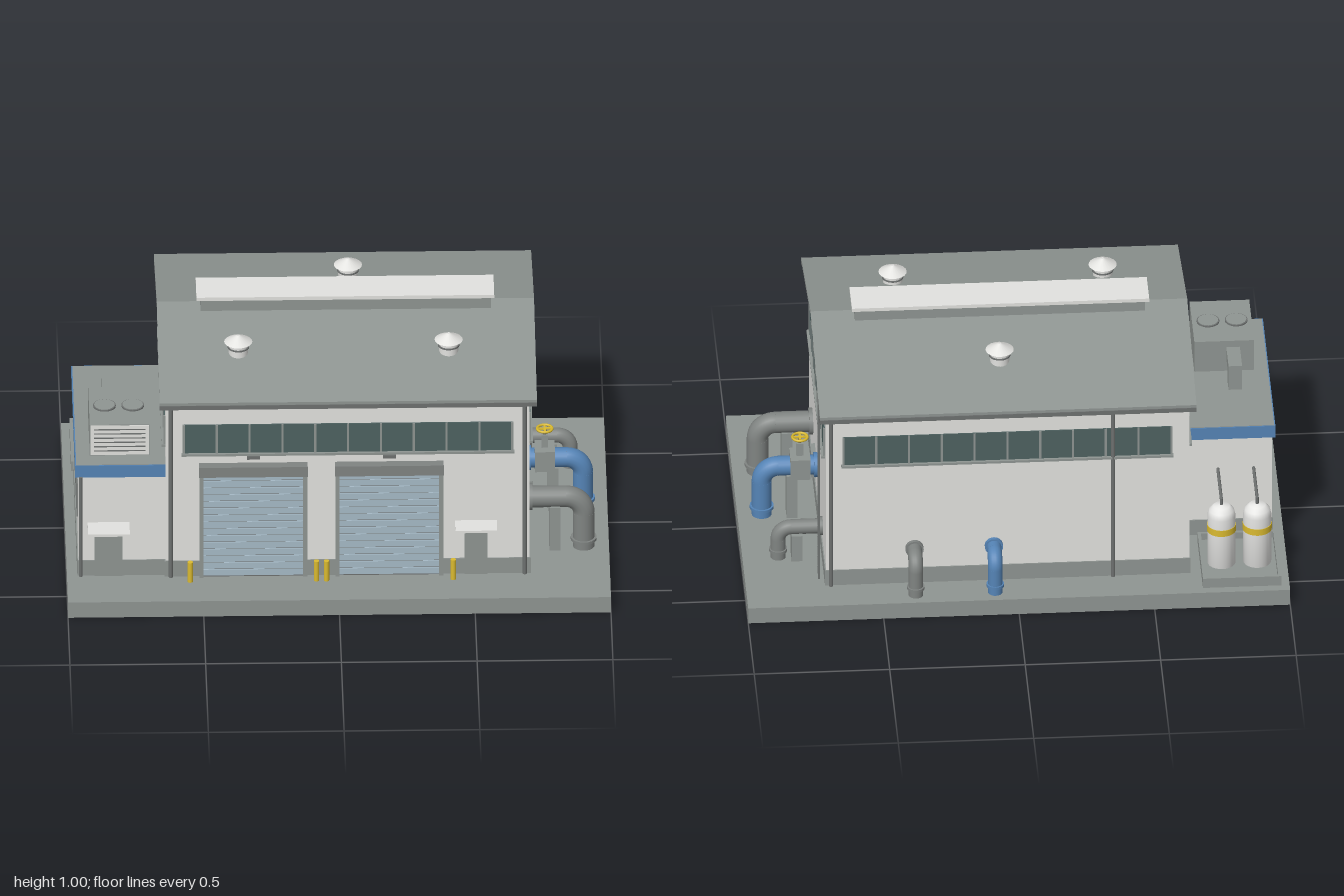
import * as THREE from 'three';

const mat = (name, color) => {
  const m = new THREE.MeshStandardMaterial({ color });
  m.name = name;
  return m;
};

export function createModel() {
  const wall = mat('wall panel', 0xe2e2df), grey = mat('concrete grey', 0x8f9592);
  const steel = mat('dark steel', 0x6e7170), pipeGrey = mat('pipe grey', 0x808482);
  const blue = mat('blue trim', 0x5584b6), glass = mat('window glass', 0x4e6261);
  const shutter = mat('shutter blue', 0xa6bac7), yellow = mat('safety yellow', 0xdaba30);
  const white = mat('white paint', 0xeaeae8);
  const model = new THREE.Group();

  const add = (name, geo, m, parent = model) => {
    const mesh = new THREE.Mesh(geo, m);
    mesh.name = name;
    parent.add(mesh);
    return mesh;
  };
  const group = (name, x = 0, y = 0, z = 0, ry = 0) => {
    const g = new THREE.Group();
    g.name = name;
    g.position.set(x, y, z);
    g.rotation.y = ry;
    model.add(g);
    return g;
  };
  // box given by its limits on each axis
  const box = (name, m, x0, x1, y0, y1, z0, z1, parent) => {
    const mesh = add(name, new THREE.BoxGeometry(x1 - x0, y1 - y0, z1 - z0), m, parent);
    mesh.position.set((x0 + x1) / 2, (y0 + y1) / 2, (z0 + z1) / 2);
    return mesh;
  };
  // rectangular ring of four boxes, t thick
  const ring = (name, m, x0, x1, y0, y1, z0, z1, t) => {
    for (const x of [x0, x1 - t]) box(name, m, x, x + t, y0, y1, z0, z1);
    for (const z of [z0, z1 - t]) box(name, m, x0 + t, x1 - t, y0, y1, z, z + t);
  };
  // upright cylinder or cone, from y0 to y1
  const cyl = (name, m, x, z, y0, y1, r, parent, rTop = r, sides = 20) => {
    const mesh = add(name, new THREE.CylinderGeometry(rTop, r, y1 - y0, sides), m, parent);
    mesh.position.set(x, (y0 + y1) / 2, z);
    return mesh;
  };
  // outline in (z, y), extruded along x
  const extrudeX = (name, m, pts, x0, x1) => {
    const shape = new THREE.Shape(pts.map(p => new THREE.Vector2(...p)));
    const geo = new THREE.ExtrudeGeometry(shape, { depth: x1 - x0, bevelEnabled: false });
    return add(name, geo.rotateY(-Math.PI / 2).translate(x1, 0, 0), m);
  };

  const G = 0.065, L = -0.637, R = 0.704, F = 0.468, B = -0.513, CX = 0.035, CZ = -0.0225;

  // Hollow ground slab, open below, with wall footings showing under it
  box('slabTop', grey, -1, 1, G - 0.006, G, -0.655, 0.655);
  ring('slabEdge', grey, -1, 1, 0, G - 0.006, -0.655, 0.655, 0.006);
  ring('hallFooting', wall, L, R, 0.055, 0.06, B, F, 0.008);
  ring('annexFooting', wall, -0.958, L, 0.055, 0.06, -0.258, 0.456, 0.008);

  // Hall walls, plinth and blue band
  extrudeX('hallWalls', wall, [[B, G], [F, G], [F, 0.83], [CZ, 0.935], [B, 0.83]], L, R);
  box('plinth', grey, L - 0.004, R + 0.004, G, 0.13, B - 0.004, F + 0.004);
  box('blueBandLong', blue, L - 0.005, R + 0.005, 0.78, 0.829, B - 0.005, F + 0.005);
  box('blueBandGable', blue, L - 0.005, R + 0.005, 0.825, 0.847, B + 0.035, F - 0.035);

  // Pitched roof, gutters and ridge vent
  extrudeX('roof', grey, [[-0.5675, 0.818], [CZ, 0.933], [0.5225, 0.818], [0.5225, 0.833],
    [CZ, 0.949], [-0.5675, 0.833]], -0.66, 0.73);
  for (const z of [0.518, -0.563]) box('gutter', steel, -0.66, 0.73, 0.805, 0.822, z - 0.007, z + 0.007);
  box('ridgeVentBase', grey, -0.50, 0.57, 0.90, 0.99, -0.077, 0.03);
  box('ridgeVentCap', wall, -0.515, 0.582, 0.99, 1.004, -0.1, 0.047);

  // Round roof ventilators
  for (const [x, z] of [[-0.365, 0.25], [0.41, 0.25], [0.05, -0.302]]) {
    const v = group('roofVentilator', x, 0, z);
    cyl('ventNeck', wall, 0, 0, 0.87, 0.935, 0.036, v);
    cyl('ventCollar', steel, 0, 0, 0.911, 0.916, 0.04, v);
    cyl('ventCap', wall, 0, 0, 0.935, 0.962, 0.052, v, 0.006);
  }

  // Window strips, built facing +z
  const windows = (w, n, x, z, ry) => {
    const g = group('windowStrip', x, 0, z, ry);
    box('glass', glass, -w / 2, w / 2, 0.59, 0.71, 0, 0.004, g);
    for (let i = 0; i <= n; i++) {
      const mx = -w / 2 + (w * i) / n;
      box('mullion', grey, mx - 0.004, mx + 0.004, 0.59, 0.71, 0, 0.007, g);
    }
    box('sill', grey, -w / 2 - 0.008, w / 2 + 0.008, 0.581, 0.59, 0, 0.014, g);
  };
  windows(1.21, 10, CX, F, 0);
  windows(1.21, 10, CX, B, Math.PI);
  windows(0.845, 7, R, CZ, Math.PI / 2);
  windows(0.845, 7, L, CZ, -Math.PI / 2);

  // Roller doors with side rails, header box and lamp
  for (const x of [-0.314, 0.187]) {
    const d = group('rollerDoor', x, 0, F);
    box('doorBacking', steel, -0.195, 0.195, G, 0.505, 0, 0.007, d);
    for (let i = 0; i < 15; i++) {
      const y = G + 0.006 + i * 0.029;
      box('slat', shutter, -0.183, 0.183, y, y + 0.025, 0, 0.011, d);
    }
    for (const s of [-1, 1]) box('doorRail', grey, s * 0.191 - 0.008, s * 0.191 + 0.008, G, 0.505, 0, 0.016, d);
    box('headerBox', pipeGrey, -0.2, 0.2, 0.503, 0.545, 0, 0.036, d);
    box('doorLamp', steel, -0.024, 0.024, 0.569, 0.582, 0, 0.02, d);
  }
  for (const x of [-0.547, -0.082, -0.045, 0.422]) cyl('bollard', yellow, x, 0.51, G, 0.148, 0.01);

  // Downspouts
  for (const [x, z] of [[-0.618, F + 0.007], [0.686, F + 0.007], [0.686, B - 0.007], [-0.355, B - 0.007]])
    cyl('downspout', steel, x, z, G, 0.81, 0.008, model, 0.008, 10);

  // Side annex with parapet and louvre panel
  box('annexWalls', wall, -0.958, L, G, 0.49, -0.258, 0.456);
  box('annexPlinth', grey, -0.962, L, G, 0.13, -0.262, 0.46);
  box('annexParapet', blue, -0.97, L, 0.485, 0.535, -0.267, 0.463);
  box('annexRoof', grey, -0.966, L, 0.53, 0.537, -0.263, 0.459);
  box('annexLouvre', pipeGrey, -0.963, -0.95, 0.265, 0.405, -0.15, 0.37);
  cyl('annexDownspout', steel, -0.95, 0.463, G, 0.488, 0.007, model, 0.007, 10);

  // Personnel doors with canopies
  for (const [x, w, z] of [[-0.847, 0.052, 0.456], [0.506, 0.042, F]]) {
    box('personnelDoor', grey, x - w, x + w, G, 0.255, z, z + 0.008);
    box('doorCanopy', wall, x - 0.077, x + 0.077, 0.28, 0.29, z, 0.546);
  }

  // Rooftop air unit
  box('airUnit', grey, -0.915, -0.695, 0.537, 0.667, 0.115, 0.39);
  box('airUnitGrille', wall, -0.913, -0.697, 0.54, 0.664, 0.388, 0.393);
  for (let i = 0; i < 6; i++) box('grilleBlade', steel, -0.9, -0.71, 0.556 + i * 0.018, 0.56 + i * 0.018, 0.39, 0.395);
  for (const x of [-0.858, -0.754]) {
    cyl('fanRing', steel, x, 0.253, 0.667, 0.672, 0.042);
    cyl('fanDisc', grey, x, 0.253, 0.668, 0.674, 0.038);
  }
  box('airDuct', grey, -0.863, -0.813, 0.59, 0.64, -0.015, 0.116);
  box('airDuctDrop', grey, -0.863, -0.813, 0.535, 0.6, -0.015, 0.035);

  // Tank tray and two storage tanks
  box('trayFloor', grey, -0.965, -0.685, G, 0.078, -0.617, -0.31);
  ring('trayRim', grey, -0.97, -0.68, G, 0.105, -0.622, -0.304, 0.012);
  const profile = [[0, 0.078], [0.052, 0.078], [0.052, 0.285], [0.046, 0.308], [0.03, 0.324], [0, 0.33]]
    .map(p => new THREE.Vector2(...p));
  for (const x of [-0.89, -0.758]) {
    const t = group('storageTank', x, 0, -0.467);
    add('tankBody', new THREE.LatheGeometry(profile, 24), white, t);
    cyl('tankBand', yellow, 0, 0, 0.22, 0.246, 0.054, t, 0.054, 24);
    cyl('tankOutlet', steel, 0, 0, 0.32, 0.356, 0.006, t, 0.006, 10);
    const line = cyl('tankLine', steel, 0, 0.105, -0.105, 0.105, 0.006, t, 0.006, 10);
    line.rotation.x = Math.PI / 2;
    line.position.y = 0.35;
  }

  // Bent pipes: out of the wall along local +x, then down through the slab
  const pipe = (m, x, z, ry, run, h, r, bend) => {
    const g = group('pipe', x, 0, z, ry);
    const across = (name, x0, x1, rad) => {
      const c = cyl(name, m, 0, 0, x0, x1, rad, g);
      c.rotation.z = -Math.PI / 2;
      c.position.set((x0 + x1) / 2, h, 0);
    };
    across('pipeRun', 0, run - bend, r);
    across('wallFlange', 0, 0.014, r * 1.25);
    add('pipeElbow', new THREE.TorusGeometry(bend, r, 16, 12, Math.PI / 2), m, g)
      .position.set(run - bend, h - bend, 0);
    cyl('pipeDrop', m, run, 0, 0.05, h - bend, r, g);
    cyl('pipeFlange', m, run, 0, 0.093, 0.104, r * 1.2, g);
  };
  const pipes = [[pipeGrey, 0.275, 0.203, 0.275, 0.04, 0.065], [blue, -0.015, 0.206, 0.272, 0.037, 0.06],
    [pipeGrey, -0.31, 0.164, 0.194, 0.028, 0.048]];
  for (const [m, z, run, h, r, bend] of pipes) {
    pipe(m, R, z, 0, run, h, r, bend);
    box('pipeSupport', grey, 0.78, 0.82, G, h - r * 0.7, z - 0.037, z + 0.037);
  }
  for (const [m, x] of [[blue, 0.085], [pipeGrey, 0.378]]) pipe(m, x, B, Math.PI / 2, 0.087, 0.215, 0.027, 0.045);

  // Valve with yellow handwheel on the blue pipe
  box('valveBody', grey, 0.732, 0.806, 0.235, 0.32, -0.06, 0.03);
  box('valveBonnet', grey, 0.757, 0.781, 0.32, 0.372, -0.027, -0.003);
  cyl('valveStem', steel, 0.769, -0.015, 0.37, 0.396, 0.006);
  const wheel = group('handwheel', 0.769, 0.395, -0.015);
  add('wheelRim', new THREE.TorusGeometry(0.028, 0.005, 8, 20).rotateX(Math.PI / 2), yellow, wheel);
  box('wheelSpoke', yellow, -0.028, 0.028, -0.003, 0.003, -0.004, 0.004, wheel);
  box('wheelSpoke', yellow, -0.004, 0.004, -0.003, 0.003, -0.028, 0.028, wheel);

  // Electrical cabinet and wall ladder
  box('cabinet', grey, R, 0.722, 0.16, 0.263, 0.07, 0.143);
  for (const z of [-0.43, -0.468]) box('ladderRail', steel, 0.724, 0.731, G, 0.848, z - 0.003, z + 0.003);
  for (let y = 0.1; y < 0.84; y += 0.044) box('ladderRung', steel, 0.725, 0.73, y - 0.002, y + 0.002, -0.468, -0.43);

  return model;
}
